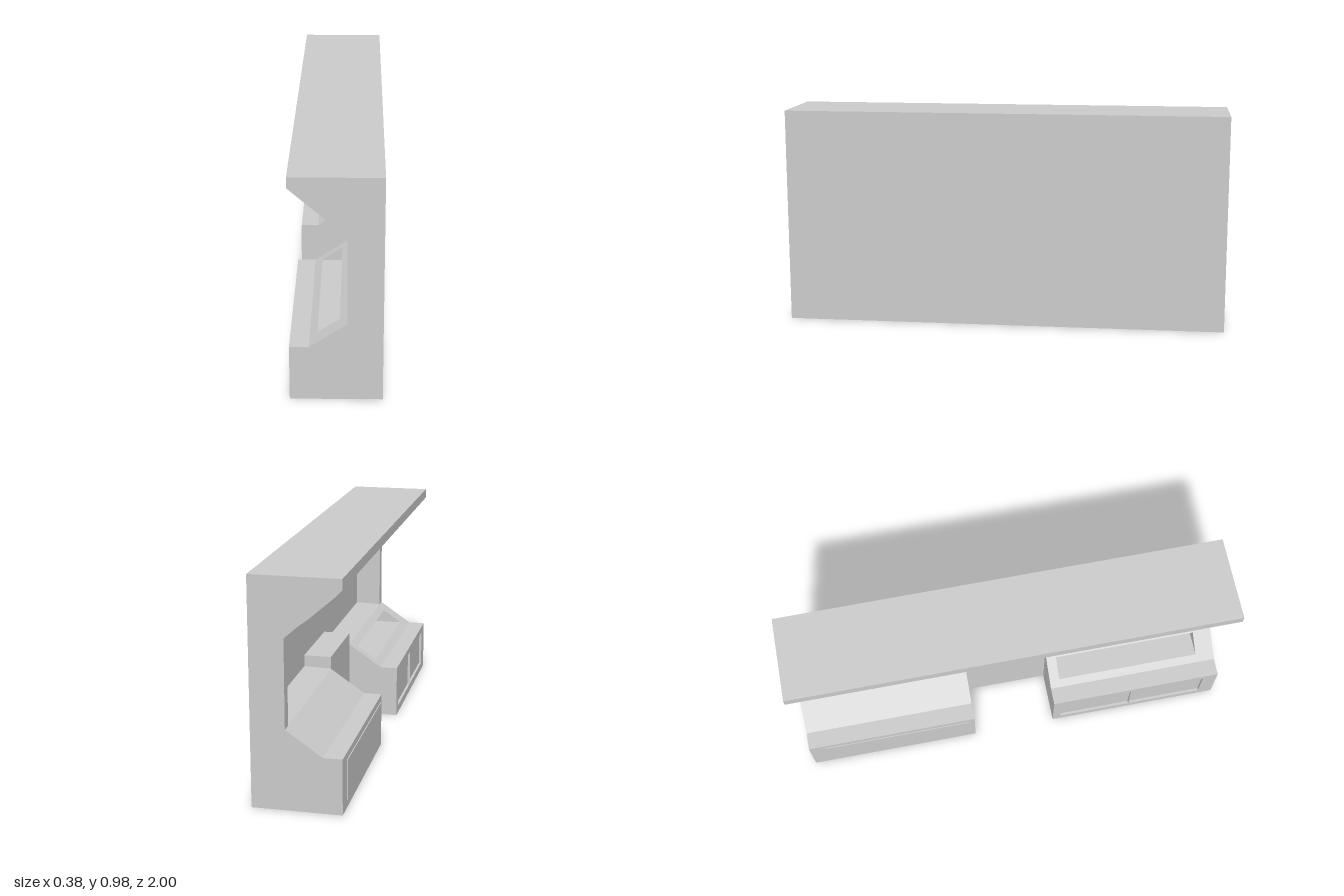
import * as THREE from 'three';

export function createModel() {
  const group = new THREE.Group();
  const mat = new THREE.MeshStandardMaterial({ color: 0xcccccc, flatShading: true });

  const add = (name, geo) => {
    const mesh = new THREE.Mesh(geo, mat);
    mesh.name = name;
    group.add(mesh);
  };
  // Cross-section in x/y swept from z0 to z1
  const sweep = (name, pts, z0, z1) => {
    const shape = new THREE.Shape(pts.map(([x, y]) => new THREE.Vector2(x, y)));
    const geo = new THREE.ExtrudeGeometry(shape, { depth: z1 - z0, bevelEnabled: false });
    add(name, geo.translate(0, 0, z0));
  };
  // Box given by its bounds
  const box = (name, x0, x1, y0, y1, z0, z1) => add(name,
    new THREE.BoxGeometry(x1 - x0, y1 - y0, z1 - z0)
      .translate((x0 + x1) / 2, (y0 + y1) / 2, (z0 + z1) / 2));

  const F = -0.19, B = 0.19, WALL = 0.17, H = 0.975; // front, back, recessed wall, height

  // End panels with the full outline
  const outline = [[F, 0], [B, 0], [B, H], [F, H], [F, 0.93], [0.045, 0.725],
    [0.045, 0.346], [-0.11, 0.24], [F, 0.24]];
  sweep('endPanelBack', outline, -1, -0.95);
  sweep('endPanelFront', outline, 0.95, 1);

  // Rear wall and overhanging canopy
  box('rearWall', WALL, B, 0, 0.68, -0.95, 0.95);
  sweep('canopy', [[F, H], [F, 0.93], [0.045, 0.725], [0.045, 0.68], [B, 0.68], [B, H]], -0.95, 0.95);
  sweep('canopyUnderPanel', [[F, 0.93], [-0.15, 0.886], [-0.04, 0.79], [0.045, 0.725]], -0.93, 0.93);

  // Counters: flat lip, slope, then shelf
  const counter = (front, notch = []) => [[front, 0], [WALL, 0], [WALL, 0.35], [0.045, 0.346],
    ...notch, [-0.11, 0.24], [front, 0.24]];
  sweep('counterBack', counter(F), -0.95, -0.2);

  // Front counter with an undercut tray let into its slope
  const inner = F + 0.012;
  const tray = [[0.014, 0.325], [0.1, 0.322], [0.1, 0.262], [-0.077, 0.262]];
  sweep('counterFrontSide', counter(inner), 0.19, 0.237);
  sweep('counterFrontTray', counter(inner, tray), 0.237, 0.913);
  sweep('counterFrontSide', counter(inner), 0.913, 0.95);

  // Frame around the two recessed doors
  box('doorFrameTop', F, inner, 0.21, 0.24, 0.19, 0.95);
  box('doorFrameBottom', F, inner, 0, 0.035, 0.19, 0.95);
  for (const [z0, z1] of [[0.19, 0.228], [0.572, 0.58], [0.93, 0.95]])
    box('doorFramePost', F, inner, 0.035, 0.21, z0, z1);

  // Slightly raised panel on the other counter
  box('raisedPanel', F - 0.004, F, 0.035, 0.21, -0.923, -0.228);

  // Pedestal filling the back of the gap between counters
  box('centrePedestal', 0.045, WALL, 0, 0.402, -0.2, 0.19);

  return group;
}
